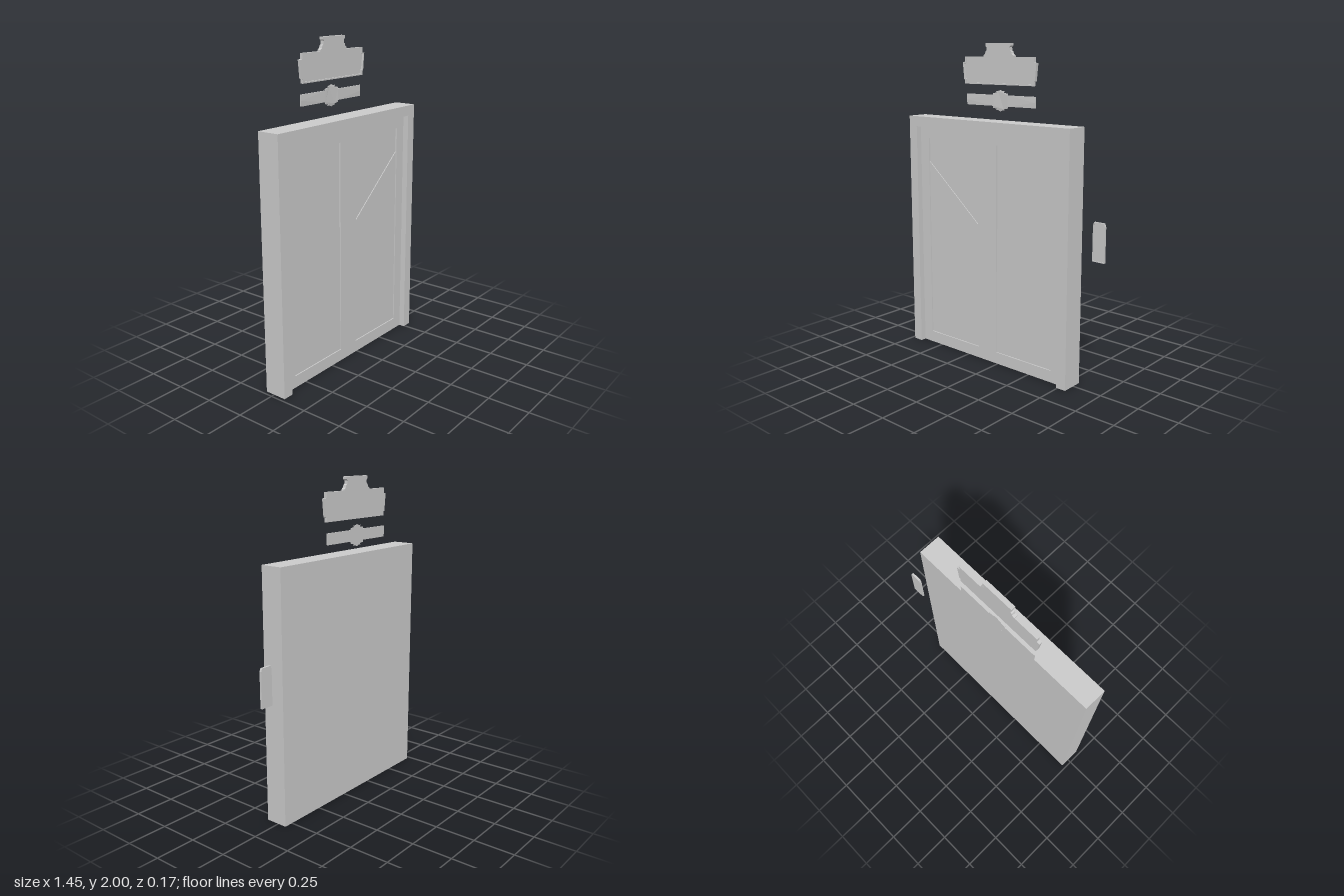
import * as THREE from 'three';

const material = new THREE.MeshStandardMaterial({ color: 0xcccccc, side: THREE.DoubleSide, flatShading: true });
const CX = -0.085; // shared centre line of doors and signs
const FRONT = 0.083, BACK = -0.058, DOOR = 0.046, PANEL = 0.039, UPPER = 0.034;

const rect = (x0, x1, y0, y1) => [[x0, y0], [x1, y0], [x1, y1], [x0, y1]];
const toShape = (pts, holes = []) => {
  const shape = new THREE.Shape(pts.map(p => new THREE.Vector2(...p)));
  for (const h of holes) shape.holes.push(new THREE.Path(h.map(p => new THREE.Vector2(...p))));
  return shape;
};
// Mirror half an outline (offsets from the centre line, bottom to top)
const mirrored = half => [
  ...half.map(([d, y]) => [CX + d, y]),
  ...half.slice().reverse().filter(([d]) => d > 0).map(([d, y]) => [CX - d, y]),
];

export function createModel() {
  const model = new THREE.Group();
  const add = (name, geometry, parent = model) => {
    const mesh = new THREE.Mesh(geometry, material);
    mesh.name = name;
    parent.add(mesh);
    return mesh;
  };
  // Flat sheet at depth z
  const sheet = (name, pts, z, holes, parent) =>
    add(name, new THREE.ShapeGeometry(toShape(pts, holes)).translate(0, 0, z), parent);
  // Solid slab between two depths
  const slab = (name, pts, z0, z1, holes, parent) =>
    add(name, new THREE.ExtrudeGeometry(toShape(pts, holes), { depth: z1 - z0, bevelEnabled: false }).translate(0, 0, z0), parent);
  // Strip of walls along a path, spanning two depths
  const walls = (name, pts, z0, z1, closed, parent) => {
    const v = [];
    const n = closed ? pts.length : pts.length - 1;
    for (let i = 0; i < n; i++) {
      const [ax, ay] = pts[i], [bx, by] = pts[(i + 1) % pts.length];
      v.push(ax, ay, z0, bx, by, z0, bx, by, z1, ax, ay, z0, bx, by, z1, ax, ay, z1);
    }
    const g = new THREE.BufferGeometry();
    g.setAttribute('position', new THREE.Float32BufferAttribute(v, 3));
    g.computeVertexNormals();
    return add(name, g, parent);
  };

  // Hollow door case, open underneath
  const doorCase = new THREE.Group();
  doorCase.name = 'doorCase';
  model.add(doorCase);
  const outer = [[0.557, 0], [0.557, 1.54], [-0.727, 1.54], [-0.727, 0]];
  const inner = [[-0.662, 0], [-0.662, 1.475], [0.492, 1.475], [0.492, 0]];
  sheet('frameFront', [...outer, ...inner], FRONT, [], doorCase);
  sheet('frameBack', outer, BACK, [], doorCase);
  walls('frameOuterWalls', outer, FRONT, BACK, false, doorCase);
  walls('frameReturn', inner, DOOR, FRONT, false, doorCase);

  // Door leaves, each with a recessed panel split by a slanted step
  const openings = [-1, 1].map(s => [
    [CX + s * 0.075, 0.075], [CX + s * 0.505, 0.075], [CX + s * 0.505, 1.4], [CX + s * 0.075, 1.4],
  ]);
  sheet('doorLeaves', inner, DOOR, openings, doorCase);
  openings.forEach((o, i) => {
    const leaf = new THREE.Group();
    leaf.name = i ? 'leftDoorPanel' : 'rightDoorPanel';
    doorCase.add(leaf);
    const low = [o[0][0], 0.88], high = [o[1][0], 1.245];
    sheet('lowerPanel', [o[0], o[1], high, low], PANEL, [], leaf);
    sheet('upperPanel', [low, high, o[2], o[3]], UPPER, [], leaf);
    walls('panelEdge', o, PANEL, DOOR, true, leaf);
    walls('upperPanelEdge', [high, o[2], o[3], low], UPPER, PANEL, true, leaf);
  });

  // Upper sign: back plate, raised rim and stepped crown
  const sign = new THREE.Group();
  sign.name = 'upperSign';
  model.add(sign);
  const signHalf = [[0.275, 1.752], [0.275, 1.777], [0.283, 1.779], [0.294, 1.885], [0.275, 1.888], [0.275, 1.92]];
  const rimHalf = signHalf.map(([d, y]) => [d - 0.008, y + (y < 1.835 ? 0.008 : -0.008)]);
  slab('signPlate', mirrored(signHalf), -0.079, -0.07, [], sign);
  slab('signRim', mirrored(signHalf), -0.07, -0.06, [mirrored(rimHalf)], sign);
  slab('signCrown', mirrored([[0.12, 1.915], [0.12, 1.928], [0.106, 1.938], [0.102, 1.952],
    [0.094, 1.956], [0.092, 1.98], [0.088, 1.985]]), -0.082, -0.06, [], sign);
  slab('crownCap', mirrored([[0.09, 1.975], [0.1, 1.985], [0.1, 2]]), -0.083, -0.056, [], sign);

  // Lower sign strip with a central ornament, its face gently domed in height
  const strip = slab('lowerSign', mirrored([[0, 1.59], [0.018, 1.597], [0.035, 1.597], [0.028, 1.605],
    [0.058, 1.61], [0.058, 1.622], [0.275, 1.622], [0.275, 1.655], [0.275, 1.69], [0.058, 1.69], [0.058, 1.7],
    [0.028, 1.705], [0.035, 1.714], [0.018, 1.714], [0, 1.721]]), -0.083, -0.079);
  const p = strip.geometry.attributes.position;
  for (let i = 0; i < p.count; i++) {
    if (p.getZ(i) > -0.081) p.setZ(i, -0.082 + 0.006 * (1 - ((p.getY(i) - 1.655) / 0.066) ** 2));
  }
  strip.geometry.computeVertexNormals();

  // Call plate beside the door, with clipped top corners and a raised rim
  const call = new THREE.Group();
  call.name = 'callPlate';
  model.add(call);
  const plate = [[0.64, 0.778], [0.721, 0.778], [0.721, 0.99], [0.714, 1.01], [0.647, 1.01], [0.64, 0.99]];
  const face = [[0.645, 0.783], [0.716, 0.783], [0.716, 0.988], [0.711, 1.004], [0.65, 1.004], [0.645, 0.988]];
  slab('callPlateBody', plate, -0.055, -0.046, [], call);
  slab('callPlateRim', plate, -0.046, -0.042, [face], call);

  return model;
}
